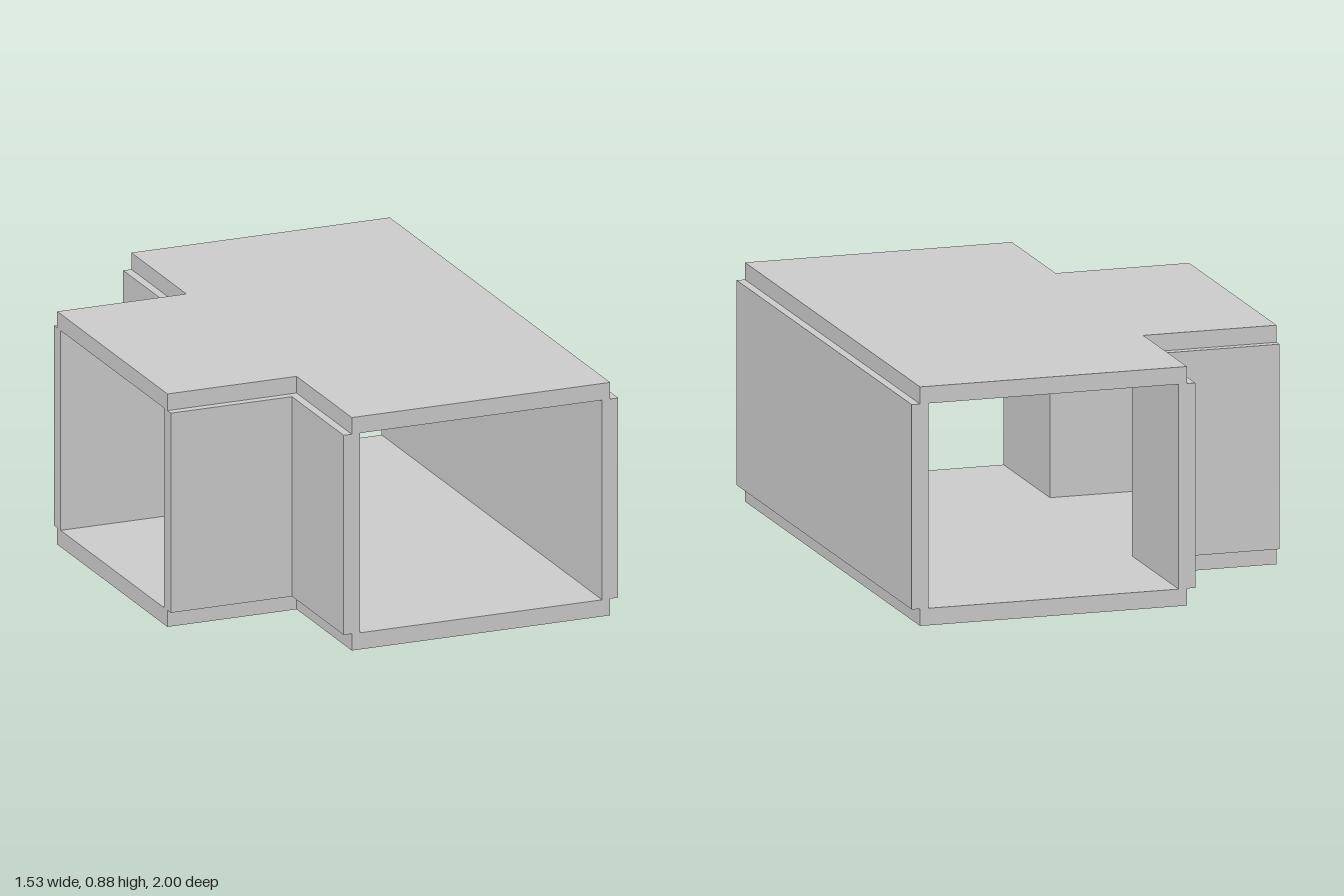
import * as THREE from 'three';

const T = 0.0625;            // plate and wall thickness
const H = 0.875;             // overall height
const END = -0.766;          // open end of the side branch
const EDGE = 0.734;          // plate edge on the closed side
const INNER = -0.266;        // plate edge beside the branch

// Extrudes a plan outline of [x, z] points upward from y0 to y1
function slab(name, points, y0, y1, material) {
  const shape = new THREE.Shape(points.map(([x, z]) => new THREE.Vector2(x, -z)));
  const geometry = new THREE.ExtrudeGeometry(shape, { depth: y1 - y0, bevelEnabled: false });
  geometry.rotateX(-Math.PI / 2);
  geometry.translate(0, y0, 0);
  const mesh = new THREE.Mesh(geometry, material);
  mesh.name = name;
  return mesh;
}

export function createModel() {
  const model = new THREE.Group();
  model.name = 'teeDuct';
  const material = new THREE.MeshStandardMaterial({ color: 0xcccccc, flatShading: true });
  const h = T / 2;

  // T-shaped floor and roof plates
  const tee = [
    [EDGE, 1], [EDGE, -1], [INNER, -1], [INNER, -0.5],
    [END, -0.5], [END, 0.5], [INNER, 0.5], [INNER, 1],
  ];
  model.add(slab('floorPlate', tee, 0, T, material));
  model.add(slab('roofPlate', tee, H - T, H, material));

  // Long closed wall, straddling the plate edge
  const wall = new THREE.Mesh(new THREE.BoxGeometry(T, H - 2 * T, 2), material);
  wall.name = 'longWall';
  wall.position.set(EDGE, H / 2, 0);
  model.add(wall);

  // L-shaped corner walls between the main duct and the branch
  for (const [name, s] of [['frontCornerWall', 1], ['backCornerWall', -1]]) {
    const corner = [
      [END, 0.5 - h], [INNER + h, 0.5 - h], [INNER + h, 1],
      [INNER - h, 1], [INNER - h, 0.5 + h], [END, 0.5 + h],
    ].map(([x, z]) => [x, z * s]);
    model.add(slab(name, corner, T, H - T, material));
  }
  return model;
}
